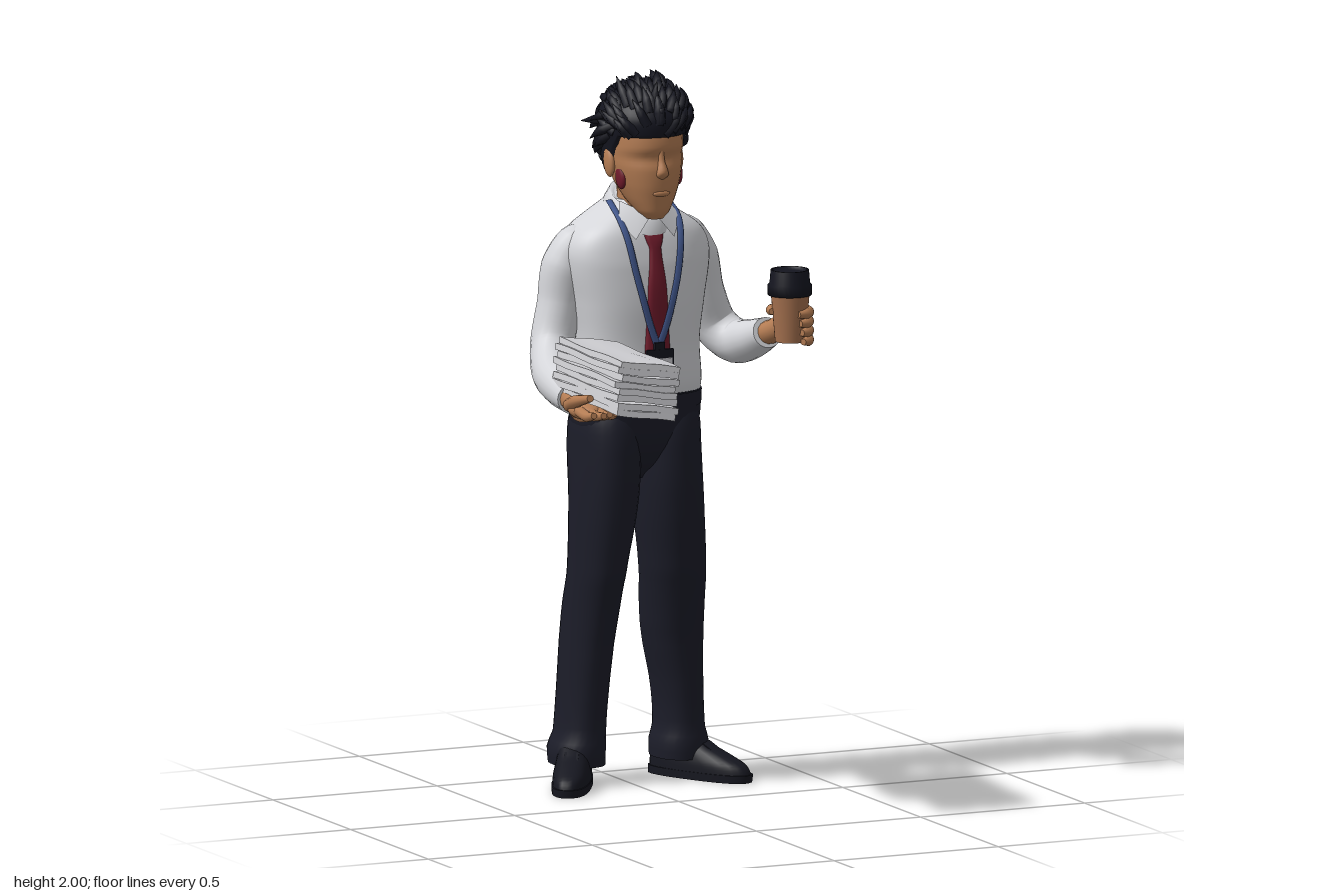
import * as THREE from 'three';

const V = (x, y, z) => new THREE.Vector3(x, y, z);
const mat = (name, color, side = THREE.FrontSide) => {
  const m = new THREE.MeshStandardMaterial({ color, side });
  m.name = name;
  return m;
};

// Skin rings of points into a closed, capped surface with smooth sides
function skin(rings) {
  const n = rings[0].length, pos = [], idx = [];
  rings.forEach(r => r.forEach(p => pos.push(p.x, p.y, p.z)));
  for (let i = 0; i < rings.length - 1; i++) for (let j = 0; j < n; j++) {
    const a = i * n + j, b = i * n + (j + 1) % n;
    idx.push(a, a + n, b, b, a + n, b + n);
  }
  [rings[0], rings[rings.length - 1]].forEach((r, end) => {
    const base = pos.length / 3, c = V(0, 0, 0);
    r.forEach(p => { pos.push(p.x, p.y, p.z); c.addScaledVector(p, 1 / n); });
    pos.push(c.x, c.y, c.z);
    for (let j = 0; j < n; j++) {
      const a = base + j, b = base + (j + 1) % n;
      idx.push(base + n, end ? b : a, end ? a : b);
    }
  });
  const g = new THREE.BufferGeometry();
  g.setAttribute('position', new THREE.Float32BufferAttribute(pos, 3));
  g.setIndex(idx);
  g.computeVertexNormals();
  return g;
}

// Section keys are [y, centreX, halfWidth, zFront, zBack]; smooth lookup by height
function at(keys, y) {
  let i = 0;
  while (i < keys.length - 2 && y > keys[i + 1][0]) i++;
  const k = d => keys[Math.min(keys.length - 1, Math.max(0, i + d))];
  const t = Math.min(1, Math.max(0, (y - k(0)[0]) / (k(1)[0] - k(0)[0])));
  return k(0).map((b, c) => {
    const a = k(-1)[c], d = k(1)[c], e = k(2)[c];
    return b + 0.5 * t * (d - a + t * (2 * a - 5 * b + 4 * d - e + t * (3 * (b - d) + e - a)));
  });
}
function ringPoint(keys, y, th, p = 2.3, grow = 1) {
  const [, cx, hw, zf, zb] = at(keys, y), c = Math.cos(th), s = Math.sin(th);
  const f = v => Math.sign(v) * Math.abs(v) ** (2 / p) * grow;
  return V(cx + hw * f(c), y, (zf + zb) / 2 + (zf - zb) / 2 * f(s));
}
const ring = (n, fn) => Array.from({ length: n }, (_, j) => fn(j / n * Math.PI * 2));
function stack(keys, p = 2.3, steps = 32, sides = 32) {
  const y0 = keys[0][0], y1 = keys[keys.length - 1][0];
  return skin(Array.from({ length: steps + 1 }, (_, i) =>
    ring(sides, th => ringPoint(keys, y0 + (y1 - y0) * i / steps, th, p))));
}

// Limb along a path of [x, y, z, radius]; flat squashes its second axis
function limb(pts, steps = 24, sides = 16, flat = 1) {
  const curve = new THREE.CatmullRomCurve3(pts.map(p => V(p[0], p[1], p[2])));
  const n = pts.length - 1;
  const ref = Math.abs(curve.getTangent(0.5).x) > 0.85 ? V(0, 1, 0) : V(1, 0, 0);
  return skin(Array.from({ length: steps + 1 }, (_, i) => {
    const t = i / steps, k = Math.min(n - 1, Math.floor(t * n));
    const r = THREE.MathUtils.lerp(pts[k][3], pts[k + 1][3], t * n - k);
    const c = curve.getPoint(t), T = curve.getTangent(t);
    const u = ref.clone().addScaledVector(T, -ref.dot(T)).normalize(), v = u.clone().cross(T);
    return ring(sides, th => c.clone().addScaledVector(u, r * Math.cos(th)).addScaledVector(v, r * flat * Math.sin(th)));
  }));
}

const HEAD = [[1.607, .004, .024, -.14, -.19], [1.625, .004, .044, -.127, -.23], [1.66, .004, .066, -.12, -.28],
  [1.70, .004, .084, -.114, -.32], [1.75, .004, .098, -.114, -.35], [1.78, .004, .102, -.122, -.36], [1.81, .004, .103, -.112, -.365],
  [1.87, .004, .1, -.125, -.365], [1.92, .004, .08, -.17, -.34], [1.95, .004, .03, -.23, -.29]];
const HAIR = [[1.68, .004, .08, -.18, -.345], [1.74, .004, .1, -.15, -.365], [1.80, .004, .112, -.125, -.378], [1.86, .006, .12, -.108, -.382],
  [1.90, .008, .117, -.115, -.378], [1.945, .01, .09, -.155, -.35], [1.976, .012, .035, -.22, -.3]];
const TORSO = [[1.08, 0, .172, -.15, -.405], [1.14, 0, .178, -.138, -.415], [1.25, 0, .172, -.142, -.402], [1.37, 0, .19, -.14, -.425],
  [1.48, 0, .21, -.148, -.432], [1.53, 0, .205, -.158, -.428], [1.57, 0, .178, -.17, -.415], [1.61, 0, .12, -.192, -.395], [1.65, 0, .065, -.215, -.37]];
const CHEST_POWER = 2.7;

// Front of the shirt at a given x and y
function chestZ(x, y) {
  const [, , hw, zf, zb] = at(TORSO, y);
  return (zf + zb) / 2 + (zf - zb) / 2 * (1 - Math.min(1, Math.abs(x / hw)) ** CHEST_POWER) ** (1 / CHEST_POWER);
}

export function createModel() {
  const model = new THREE.Group();
  const M = {
    skin: mat('skin', 0xb57d54), hair: mat('hair black', 0x14151f), shirt: mat('shirt white', 0xd4d5d9, THREE.DoubleSide),
    pants: mat('trouser navy', 0x1c1d29), shoe: mat('shoe black', 0x161720), tie: mat('dark red', 0x6e1a2a),
    strap: mat('strap blue', 0x43598f), paper: mat('paper', 0xd2d2d6), cup: mat('cup brown', 0xa5714f),
  };
  let parent = model;
  const add = (name, geo, m, pos = [0, 0, 0], scale = [1, 1, 1]) => {
    const o = new THREE.Mesh(geo, m);
    o.name = name;
    o.position.set(...pos);
    o.scale.set(...scale);
    parent.add(o);
    return o;
  };
  const group = name => {
    parent = new THREE.Group();
    parent.name = name;
    model.add(parent);
    return parent;
  };
  const ball = new THREE.SphereGeometry(1, 20, 14);

  // Head, nose, ears and ear drops
  group('headGroup');
  add('head', stack(HEAD, 2.2, 40), M.skin);
  add('nose', stack([[1.722, .004, .006, -.114, -.13], [1.732, .004, .018, -.101, -.13], [1.745, .004, .016, -.097, -.13],
    [1.775, .004, .009, -.11, -.13], [1.81, .004, .008, -.114, -.13]], 2, 12, 12), M.skin);
  add('lips', ball, M.skin, [.004, 1.682, -.119], [.026, .008, .007]);
  add('neck', stack([[1.57, 0, .062, -.185, -.34], [1.64, 0, .056, -.18, -.335], [1.72, 0, .06, -.17, -.335]], 2, 8), M.skin);
  for (const s of [-1, 1]) {
    add('ear', ball, M.skin, [.004 + s * .104, 1.76, -.237], [.013, .042, .026]).rotation.x = -.2;
    add('earDrop', ball, M.tie, [.004 + s * .086, 1.722, -.2], [.012, .034, .025]).rotation.x = -.2;
  }

  // Hair cap with a shaped hairline, covered in swept tapered locks
  group('hairGroup');
  const edge = th => {
    const f = Math.sin(th);
    return THREE.MathUtils.lerp(1.70 + .05 * (f + 1), 1.84, THREE.MathUtils.smoothstep(f, .1, .5));
  };
  const hairPoint = (th, s) => ringPoint(HAIR, THREE.MathUtils.lerp(edge(th), 1.976, s), th, 2.1);
  const capRings = [ring(40, th => ringPoint(HEAD, edge(th), th, 2.2, .95))];
  for (let i = 0; i <= 16; i++) capRings.push(ring(40, th => hairPoint(th, i / 16)));
  add('hairCap', skin(capRings), M.hair);
  let seed = 7;
  const rnd = () => (seed = (seed * 16807) % 2147483647) / 2147483647;
  for (let i = 0; i < 150; i++) {
    const s = .04 + .93 * rnd(), p = hairPoint(i * 2.39996, s);
    const n = p.clone().sub(V(0, 1.83, -.25)).normalize();
    const d = V(.5 * rnd() - .15, p.z > -.2 || s > .75 ? .3 : -.8, -1);
    d.addScaledVector(n, -d.dot(n)).normalize();
    const len = .06 + .04 * rnd(), loose = i % 8 === 0 && s > .3 && p.z > -.32 ? .028 : 0;
    const base = p.clone().addScaledVector(n, -.01);
    const mid = p.clone().addScaledVector(d, len * .5).addScaledVector(n, loose * .3 - .001);
    const tip = p.clone().addScaledVector(d, len).addScaledVector(n, loose + .012 - 2.8 * len * len);
    tip.y = Math.min(tip.y, 1.998);
    add('lock', limb([[...base, .016], [...mid, .013], [...tip, .001]], 6, 6), M.hair);
  }

  // Shirt body, collar band and collar points
  group('shirt');
  add('shirtBody', stack(TORSO, CHEST_POWER, 48, 48), M.shirt);
  const band = (y, w) => ring(32, th => V(w * Math.cos(th), y - .03 * Math.sin(th), -.272 + w * 1.3 * Math.sin(th)));
  add('collarBand', skin([band(1.59, .09), band(1.625, .086), band(1.655, .07), band(1.645, .058)]), M.shirt);
  for (const s of [-1, 1]) {
    const g = new THREE.BufferGeometry();
    const c = [[.012, 1.61, -.162], [.058, 1.552, -.152], [.094, 1.6, -.19], [.072, 1.65, -.23], [.035, 1.63, -.18]];
    g.setAttribute('position', new THREE.Float32BufferAttribute(c.flatMap(q => [s * q[0], q[1], q[2]]), 3));
    g.setIndex(s > 0 ? [0, 1, 4, 4, 1, 2, 4, 2, 3] : [0, 4, 1, 4, 2, 1, 4, 3, 2]);
    g.computeVertexNormals();
    add('collarPoint', g, M.shirt);
  }
  add('rightSleeve', limb([[-.1, 1.535, -.31, .03], [-.155, 1.525, -.315, .058], [-.19, 1.46, -.325, .069], [-.21, 1.36, -.325, .062],
    [-.24, 1.25, -.305, .062], [-.27, 1.185, -.23, .063], [-.295, 1.162, -.12, .056], [-.315, 1.15, -.015, .044]], 44, 20), M.shirt);
  add('leftSleeve', limb([[.1, 1.535, -.31, .03], [.16, 1.525, -.315, .058], [.198, 1.46, -.325, .069], [.225, 1.36, -.33, .063],
    [.268, 1.26, -.33, .062], [.302, 1.222, -.275, .062], [.315, 1.24, -.19, .055], [.317, 1.272, -.1, .043]], 44, 20), M.shirt);

  // Tie and lanyard follow the chest
  group('neckwear');
  add('tie', stack([[1.1, .005], [1.14, .038], [1.3, .035], [1.42, .028], [1.525, .018], [1.545, .026], [1.595, .036]]
    .map(([y, w]) => [y, .002, w, chestZ(0, y) + .011, chestZ(0, y) - .02]), 3, 36, 16), M.tie);
  for (const s of [-1, 1]) {
    const path = [[.088, 1.605], [.08, 1.55], [.064, 1.46], [.044, 1.38], [.024, 1.31], [.003, 1.255]];
    add('lanyard', limb([[s * .085, 1.645, -.27, .01], ...path.map(([x, y]) => [s * x, y, chestZ(x, y) + .012, .01])], 30, 8, .3), M.strap);
  }
  add('badgeClip', new THREE.BoxGeometry(.03, .03, .012), M.hair, [0, 1.25, -.125]);
  add('badgeFrame', new THREE.BoxGeometry(.082, .105, .008), M.hair, [0, 1.193, -.122]);
  add('badgeCard', new THREE.BoxGeometry(.072, .072, .006), M.paper, [0, 1.185, -.118]);

  // Trousers
  group('trousers');
  add('hips', stack([[.865, 0, .04, -.25, -.33], [.91, 0, .1, -.2, -.385], [.97, 0, .155, -.165, -.415], [1.03, 0, .18, -.15, -.42],
    [1.115, 0, .178, -.138, -.412]], 2.5, 24, 40), M.pants);
  add('waistband', stack([[1.07, 0, .182, -.142, -.417], [1.112, 0, .181, -.134, -.417]], 2.5, 2, 40), M.pants);
  add('buckle', new THREE.BoxGeometry(.03, .022, .006), M.paper, [-.018, 1.088, -.137]);
  const legs = {
    rightLeg: [[.055, -.128, .072, -.29, -.485], [.1, -.13, .074, -.285, -.485], [.14, -.122, .066, -.29, -.475], [.25, -.117, .064, -.28, -.47],
      [.4, -.112, .066, -.255, -.46], [.5, -.108, .069, -.23, -.445], [.6, -.105, .072, -.2, -.415], [.8, -.094, .086, -.165, -.41],
      [.95, -.091, .09, -.152, -.425], [1.03, -.088, .09, -.155, -.42], [1.09, -.085, .08, -.17, -.4]],
    leftLeg: [[.055, .178, .075, -.285, -.475], [.1, .178, .077, -.28, -.475], [.14, .177, .066, -.285, -.465], [.25, .168, .066, -.275, -.462],
      [.4, .148, .08, -.255, -.455], [.5, .137, .085, -.23, -.44], [.6, .125, .088, -.2, -.412], [.8, .102, .092, -.165, -.41],
      [.95, .091, .091, -.152, -.425], [1.03, .088, .09, -.155, -.42], [1.09, .085, .08, -.17, -.4]],
  };
  for (const name in legs) add(name, stack(legs[name], 2.2, 48, 28), M.pants);

  // Shoes, toes turned out
  for (const [name, x, turn] of [['rightShoe', -.152, -.53], ['leftShoe', .194, .5]]) {
    const g = group(name);
    add('sole', stack([[0, 0, .053, .212, -.125], [.022, 0, .054, .215, -.125]], 2.6, 2, 28), M.shoe);
    add('upper', stack([[.02, 0, .052, .21, -.122], [.045, 0, .051, .195, -.12], [.065, 0, .048, .15, -.118],
      [.09, 0, .044, .085, -.114], [.13, 0, .042, .02, -.11]], 2.4, 16, 28), M.shoe);
    add('laces', new THREE.BoxGeometry(.04, .012, .05), M.shoe, [0, .085, .08]).rotation.x = .5;
    g.position.set(x, 0, -.355);
    g.rotation.y = turn;
  }

  // Cup with lid
  group('cup');
  add('cupBody', new THREE.CylinderGeometry(.054, .042, .14, 32), M.cup, [.335, 1.335, .01]);
  add('cupLid', new THREE.LatheGeometry([[0, -.01], [.061, -.01], [.061, .018], [.056, .022], [.053, .06], [.047, .06], [.046, .05], [0, .05]]
    .map(p => new THREE.Vector2(...p)), 32), M.hair, [.335, 1.405, .007]);

  // Left hand wrapped round the cup
  group('leftHand');
  add('wrist', limb([[.317, 1.265, -.12, .033], [.328, 1.28, -.08, .033], [.345, 1.3, -.045, .036]], 10, 14), M.skin);
  add('palm', ball, M.skin, [.368, 1.308, -.035], [.032, .056, .05]);
  const wrap = (y, a0, a1, r) => Array.from({ length: 5 }, (_, i) => {
    const a = THREE.MathUtils.degToRad(a0 + (a1 - a0) * i / 4);
    return [.335 + .052 * Math.cos(a), y, .007 + .052 * Math.sin(a), i < 4 ? r : r * .6];
  });
  for (let i = 0; i < 4; i++) add('finger', limb(wrap(1.268 + i * .026, -50, 70 + i * 6, .0155), 16, 10), M.skin);
  add('thumb', limb(wrap(1.35, -60, -175, .015), 14, 10), M.skin);

  // Right hand under the papers
  group('rightHand');
  add('wrist', limb([[-.315, 1.15, -.03, .034], [-.335, 1.147, .05, .031], [-.35, 1.145, .12, .036]], 12, 14), M.skin);
  add('palm', ball, M.skin, [-.348, 1.145, .13], [.042, .026, .07]);
  for (let i = 0; i < 4; i++) {
    const x = -.375 + i * .024, tip = .27 - Math.abs(i - 1) * .012;
    add('finger', limb([[x, 1.148, .15, .016], [x - .003, 1.142, .21, .015], [x - .005, 1.152, tip, .009]], 8, 10), M.skin);
  }
  add('thumb', limb([[-.365, 1.15, .07, .02], [-.384, 1.175, .15, .018], [-.388, 1.2, .25, .01]], 10, 10), M.skin);

  // Uneven stack of paper bundles
  const pile = group('papers');
  const sheets = 8, h = .15 / sheets;
  for (let i = 0; i < sheets; i++) {
    const g = new THREE.BoxGeometry(.166 + .012 * rnd(), h * .96, .55 + .015 * rnd(), 6, 1, 16), p = g.attributes.position;
    for (let k = 0; k < p.count; k++) p.setY(k, p.getY(k) + .002 * Math.sin(p.getZ(k) * 14 + i * 1.7) + .0015 * Math.sin(p.getX(k) * 40 + i));
    g.computeVertexNormals();
    add('paperBundle', g, M.paper, [(rnd() - .5) * .01, (i + .5) * h - .075, (rnd() - .5) * .015]).rotation.y = (rnd() - .5) * .03;
  }
  pile.position.set(-.279, 1.237, .185);
  pile.rotation.set(-.05, -.125, -.15);
  return model;
}
